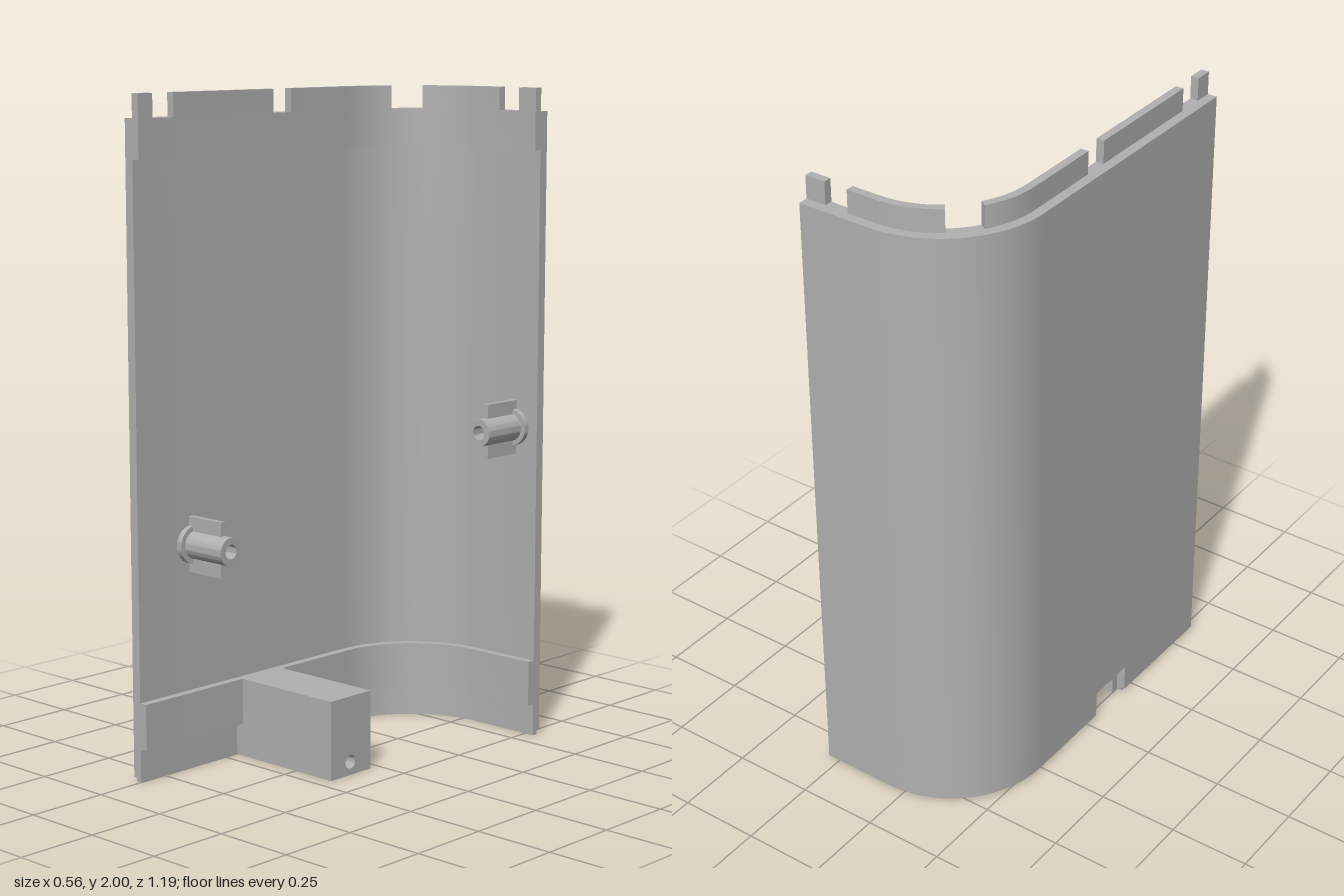
import * as THREE from 'three';
import { toCreasedNormals } from 'three/addons/utils/BufferGeometryUtils.js';

const grey = new THREE.MeshStandardMaterial({ color: 0xb0b0b0 });
grey.name = 'grey plastic';

// Wall path, measured along the outer surface: side panel, rounded corner, back panel
const X0 = -0.278, Z0 = 0.595, R = 0.33;
const SIDE = 0.86, ARC = R * Math.PI / 2, END = 1.608;

// Point on the path at length s, moved inward by d, as (x, -z)
function wallPoint(s, d) {
  if (s <= SIDE) return new THREE.Vector2(X0 + d, -(Z0 - s));
  const cx = X0 + R, cz = Z0 - SIDE;
  if (s >= SIDE + ARC) return new THREE.Vector2(cx + s - SIDE - ARC, -(cz - R + d));
  const a = (s - SIDE) / R;
  return new THREE.Vector2(cx - (R - d) * Math.cos(a), -(cz - (R - d) * Math.sin(a)));
}

// Upright strip of wall between two depths, two heights and two path lengths
function strip(group, name, d0, d1, y0, y1, s0 = 0, s1 = END) {
  const stops = [s0];
  for (let i = 0; i <= 28; i++) {
    const s = SIDE + ARC * i / 28;
    if (s > s0 + 1e-4 && s < s1 - 1e-4) stops.push(s);
  }
  stops.push(s1);
  const outer = stops.map(s => wallPoint(s, d0));
  const inner = stops.map(s => wallPoint(s, d1)).reverse();
  const geo = new THREE.ExtrudeGeometry(new THREE.Shape([...outer, ...inner]),
    { depth: y1 - y0, bevelEnabled: false });
  geo.rotateX(-Math.PI / 2).translate(0, y0, 0);
  add(group, name, toCreasedNormals(geo, 0.4));
}

function add(group, name, geo) {
  const mesh = new THREE.Mesh(geo, grey);
  mesh.name = name;
  group.add(mesh);
  return mesh;
}

function box(group, name, x0, x1, y0, y1, z0, z1) {
  const geo = new THREE.BoxGeometry(x1 - x0, y1 - y0, z1 - z0);
  geo.translate((x0 + x1) / 2, (y0 + y1) / 2, (z0 + z1) / 2);
  add(group, name, geo);
}

// Hollow screw post with foot collar and two ribs, pointing along local +y
function screwPost(name) {
  const post = new THREE.Group();
  post.name = name;
  const profile = [[0, 0.05], [0.022, 0.05], [0.022, 0.168], [0.042, 0.168], [0.042, 0.018],
    [0.057, 0.018], [0.057, 0]].map(p => new THREE.Vector2(...p)).reverse();
  add(post, 'postBarrel', toCreasedNormals(new THREE.LatheGeometry(profile, 40), 0.6));
  for (const side of [-1, 1]) {
    const rib = add(post, 'postRib', new THREE.BoxGeometry(0.018, 0.135, 0.045));
    rib.position.set(0, 0.0675, side * 0.061);
  }
  return post;
}

export function createModel() {
  const model = new THREE.Group();
  model.name = 'cornerCover';

  // Outer shell, with a notch at the foot behind the block
  const notch = [0.395, 0.555];
  for (const [s0, s1] of [[0, notch[0]], [notch[1], END]]) {
    strip(model, 'shellFootSkin', 0, 0.012, 0.012, 0.1, s0, s1);
    strip(model, 'shellFoot', 0.012, 0.03, 0, 0.1, s0, s1);
  }
  strip(model, 'shell', 0, 0.03, 0.1, 1.93);

  // Inner bands at foot and head
  strip(model, 'footBand', 0.03, 0.055, 0.1, 0.24);
  strip(model, 'headBand', 0.03, 0.055, 1.815, 1.93);

  // Tabs rising from the head band
  for (const [s0, s1] of [[0, 0.055], [0.135, 0.535], [0.61, 1.044], [1.16, 1.468], [1.543, END]])
    strip(model, 'headTab', 0.03, 0.055, 1.93, 2, s0, s1);

  // Block, hollow from below, with a round hole in its end
  const block = new THREE.Group();
  block.name = 'block';
  model.add(block);
  const bx0 = -0.25, bx1 = 0.145, bz0 = 0.033, bz1 = 0.203, roof = 0.1;
  box(block, 'blockTop', bx0, bx1, roof, 0.24, bz0, bz1);
  box(block, 'blockSide', bx0, bx1 - 0.035, 0, roof, bz0, bz0 + 0.03);
  box(block, 'blockSide', bx0, bx1 - 0.035, 0, roof, bz1 - 0.03, bz1);
  const endShape = new THREE.Shape([[-bz1, 0], [-bz0, 0], [-bz0, roof], [-bz1, roof]]
    .map(p => new THREE.Vector2(...p)));
  endShape.holes.push(new THREE.Path().absarc(-0.12, 0.04, 0.021, 0, Math.PI * 2, true));
  const endGeo = new THREE.ExtrudeGeometry(endShape,
    { depth: 0.035, bevelEnabled: false, curveSegments: 24 });
  endGeo.rotateY(Math.PI / 2).translate(bx1 - 0.035, 0, 0);
  add(block, 'blockEnd', toCreasedNormals(endGeo, 0.5));

  // Screw posts on the side and back panels
  const sidePost = screwPost('sidePost');
  sidePost.rotation.set(0, 0, -Math.PI / 2);
  sidePost.position.set(X0 + 0.03, 0.682, 0.385);
  // Turn the ribs upright
  sidePost.rotateY(Math.PI / 2);
  const backPost = screwPost('backPost');
  backPost.rotation.x = Math.PI / 2;
  backPost.position.set(0.192, 0.966, -0.565);
  model.add(sidePost, backPost);

  return model;
}
